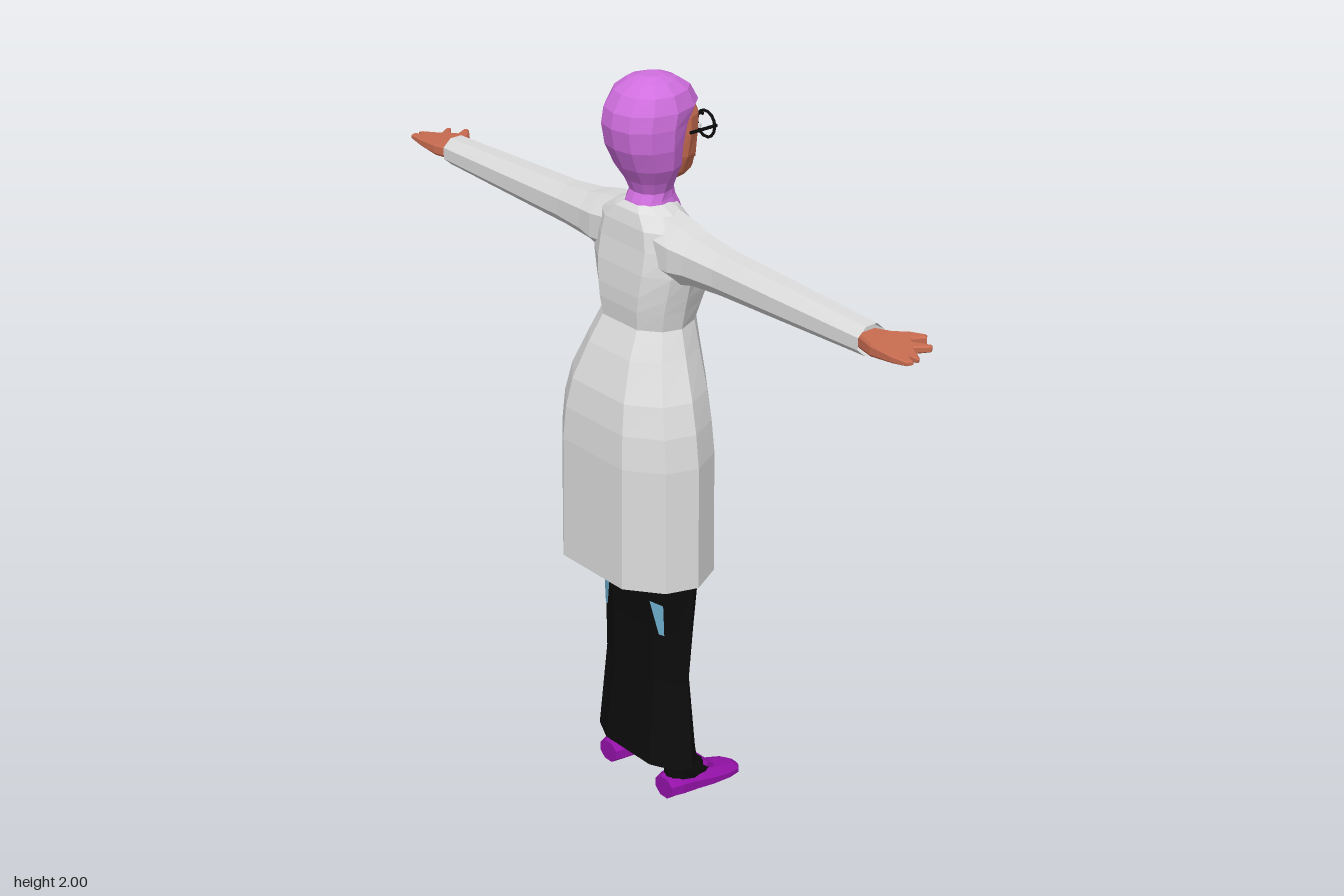
import * as THREE from 'three';

const mat = (name, color, side = THREE.FrontSide) => {
  const m = new THREE.MeshStandardMaterial({ color, side });
  m.name = name;
  return m;
};

// Half cross-sections, front (-1) to back (+1): [width fraction, depth fraction]
const BODY = [[0, -1], [0.45, -1], [0.8, -0.6], [1, 0], [0.88, 0.55], [0.5, 1], [0, 1]];
const ROUND = [[0, -1], [0.45, -0.92], [0.8, -0.58], [1, 0], [0.86, 0.55], [0.5, 0.9], [0, 1]];
const OCT = [[0.42, -1], [1, -0.42], [1, 0.42], [0.42, 1]];

const flat = (geo) => {
  const g = geo.index ? geo.toNonIndexed() : geo;
  g.computeVertexNormals();
  return g;
};

// Faceted skin over rings of [x, y, z] points
function loft(rings, closed = true, caps = false) {
  const n = rings[0].length, pos = rings.flat(2), idx = [];
  for (let i = 0; i < rings.length - 1; i++) {
    for (let j = 0; j < (closed ? n : n - 1); j++) {
      const a = i * n + j, b = i * n + (j + 1) % n;
      idx.push(a, b, b + n, a, b + n, a + n);
    }
  }
  if (caps) {
    const top = (rings.length - 1) * n;
    for (let j = 1; j < n - 1; j++) idx.push(0, j + 1, j, top, top + j, top + j + 1);
  }
  const g = new THREE.BufferGeometry();
  g.setAttribute('position', new THREE.Float32BufferAttribute(pos, 3));
  g.setIndex(idx);
  return flat(g);
}

// Symmetric ring: height y, half width w, front f, back b, side line s, front gap o, bust bulge
function ring(tpl, { y, w, f, b, s = (f + b) / 2, o = 0, bust = 0, cx = 0 }) {
  const half = tpl.map(([u, v], i) => [
    Math.max(u * w, i === 0 ? o : 0),
    (v < 0 ? s + v * (s - f) : s + v * (b - s)) - (i === 1 ? bust : i === 2 ? bust * 0.4 : 0),
  ]);
  const left = half.map(([x, z]) => [cx - x, y, z]);
  const right = half.map(([x, z]) => [cx + x, y, z]).reverse();
  if (tpl[tpl.length - 1][0] === 0) right.shift();
  if (tpl[0][0] === 0 && o === 0) right.pop();
  return left.concat(right);
}

const stack = (tpl, rows, caps = true) =>
  loft(rows.map(([y, w, f, b, s, cx]) => ring(tpl, { y, w, f, b, s, cx })), true, caps);

// Mirror across x, restoring the corner order
function mirrored(geo) {
  const g = flat(geo.clone()).scale(-1, 1, 1), p = g.attributes.position;
  for (let i = 0; i < p.count; i += 3) {
    const a = [p.getX(i), p.getY(i), p.getZ(i)];
    p.setXYZ(i, p.getX(i + 1), p.getY(i + 1), p.getZ(i + 1));
    p.setXYZ(i + 1, ...a);
  }
  g.computeVertexNormals();
  return g;
}

export function createModel() {
  const model = new THREE.Group();
  model.name = 'woman';
  const coatGrey = mat('coat light grey', 0xdcdcdc, THREE.DoubleSide);
  const orchid = mat('headscarf orchid', 0xd06fdf);
  const purple = mat('deep purple', 0x9412a8, THREE.DoubleSide);
  const black = mat('black', 0x0c0c0c, THREE.DoubleSide);
  const skin = mat('skin', 0xc86c50);
  const lip = mat('lips', 0xa14c40);
  const white = mat('eye white', 0xf0f0f0);
  const blue = mat('denim blue', 0x6fb0d0, THREE.DoubleSide);

  const add = (name, geo, material) => {
    const m = new THREE.Mesh(geo, material);
    m.name = name;
    model.add(m);
    return m;
  };
  const pair = (name, geo, material) => {
    add(name, flat(geo), material);
    add(name, mirrored(geo), material);
  };

  // Long coat, open down the front: y, w, f, b, s, gap, bust
  const coat = [
    [0.69, 0.24, -0.115, 0.195, 0.04, 0.045, 0],
    [1.03, 0.237, -0.115, 0.192, 0.04, 0.042, 0],
    [1.12, 0.226, -0.11, 0.186, 0.04, 0.038, 0],
    [1.2, 0.205, -0.105, 0.172, 0.035, 0.034, 0],
    [1.3, 0.162, -0.1, 0.135, 0.02, 0.028, 0],
    [1.37, 0.134, -0.097, 0.1, 0.01, 0.025, 0],
    [1.42, 0.145, -0.102, 0.105, 0.01, 0.024, 0.025],
    [1.46, 0.155, -0.108, 0.105, 0.01, 0.023, 0.036],
    [1.52, 0.17, -0.108, 0.1, 0.01, 0.022, 0.022],
    [1.58, 0.17, -0.09, 0.09, 0.01, 0.021, 0.004],
    [1.63, 0.15, -0.07, 0.085, 0.01, 0.02, 0],
    [1.665, 0.09, -0.055, 0.075, 0.01, 0.018, 0],
    [1.68, 0.052, -0.035, 0.062, 0.01, 0.015, 0],
  ].map(([y, w, f, b, s, o, bust]) => ({ y, w, f, b, s, o, bust }));
  add('coat', loft(coat.map((r) => ring(BODY, r)), false), coatGrey);

  // Shirt showing through the coat opening
  add('shirt', loft(coat.filter((r) => r.y > 1.15 && r.y < 1.64).map(({ y, f }) => {
    const h = Math.max(y, 1.25);
    return [[0.04, h, f + 0.006], [-0.04, h, f + 0.006]];
  }), false), purple);

  // Sleeves, lofted along x: x, half height, front, back, side line, -centre height
  const sleeve = stack(OCT, [
    [0.08, 0.08, -0.07, 0.075, 0.005, -1.583],
    [0.15, 0.075, -0.065, 0.075, 0.005, -1.577],
    [0.2, 0.063, -0.052, 0.068, 0.008, -1.578],
    [0.3, 0.054, -0.042, 0.06, 0.009, -1.576],
    [0.5, 0.047, -0.038, 0.057, 0.009, -1.575],
    [0.8, 0.037, -0.033, 0.05, 0.008, -1.573],
  ], false).rotateZ(-Math.PI / 2);
  pair('sleeve', sleeve, coatGrey);

  // Hands: flat palm outline thinning towards the fingertips
  const outline = [[0.78, -0.02], [0.82, -0.04], [0.845, -0.07], [0.88, -0.093], [0.89, -0.083],
    [0.872, -0.05], [0.888, -0.04], [0.925, -0.066], [0.932, -0.056], [0.908, -0.022], [0.955, 0.005],
    [0.96, 0.015], [0.93, 0.017], [0.96, 0.03], [0.953, 0.046], [0.91, 0.052], [0.84, 0.052], [0.78, 0.035]];
  const hand = new THREE.ExtrudeGeometry(new THREE.Shape(outline.map(([x, z]) => new THREE.Vector2(x, z))),
    { depth: 0.02, bevelThickness: 0.006, bevelSize: 0.004, bevelOffset: -0.004, bevelSegments: 1 });
  hand.rotateX(Math.PI / 2).translate(0, 0.01, 0);
  const hp = hand.attributes.position;
  for (let i = 0; i < hp.count; i++) {
    const t = THREE.MathUtils.clamp((hp.getX(i) - 0.82) / 0.14, 0, 1);
    hp.setY(i, 1.572 + 0.004 * t + hp.getY(i) * (1.1 - 0.75 * t));
  }
  pair('hand', hand, skin);

  // Long skirt
  add('skirt', stack(BODY, [
    [0.1, 0.183, -0.065, 0.08, 0.005], [0.35, 0.161, -0.045, 0.057, 0.005],
    [0.5, 0.165, -0.06, 0.06, 0], [0.69, 0.18, -0.075, 0.07, 0],
    [0.9, 0.18, -0.088, 0.09, 0], [1.1, 0.175, -0.098, 0.1, 0], [1.28, 0.135, -0.092, 0.09, 0],
  ], false), black);

  // Denim patches on the back of the skirt
  pair('denimPatch', loft([
    [[0.106, 0.5, 0.06], [0.121, 0.5, 0.054]],
    [[0.082, 0.595, 0.072], [0.121, 0.59, 0.058]],
  ], false), blue);

  // Ankles and insteps
  pair('ankle', stack(ROUND, [
    [0.02, 0.037, -0.12, 0.035, -0.03, 0.118], [0.058, 0.037, -0.095, 0.042, -0.02, 0.119],
    [0.1, 0.036, -0.05, 0.045, 0, 0.122], [0.25, 0.034, -0.025, 0.04, 0.008, 0.118],
  ]), black);

  // Shoes, lofted from heel to toe
  const shoe = stack(OCT, [
    [-0.052, 0.034, 0, 0.058, 0.03, 0.118], [-0.02, 0.044, 0, 0.066, 0.03, 0.118],
    [0.03, 0.047, 0, 0.058, 0.025, 0.118], [0.08, 0.052, 0, 0.046, 0.02, 0.119],
    [0.14, 0.05, 0, 0.034, 0.015, 0.122], [0.175, 0.04, 0, 0.026, 0.012, 0.124],
    [0.192, 0.022, 0.003, 0.018, 0.01, 0.124],
  ]).rotateX(-Math.PI / 2);
  pair('shoe', shoe, purple);
  pair('shoeStrap', new THREE.BoxGeometry(0.076, 0.012, 0.026).rotateX(-0.55).translate(0.119, 0.066, -0.078), purple);

  // Headscarf with neck and collar
  add('headscarf', stack(ROUND, [
    [1.615, 0.06, -0.095, 0.03, 0], [1.66, 0.062, -0.078, 0.07, 0.01], [1.685, 0.055, -0.065, 0.06, 0.01],
    [1.705, 0.053, -0.06, 0.05, 0], [1.735, 0.066, -0.066, 0.062, 0], [1.775, 0.09, -0.068, 0.088, 0],
    [1.83, 0.102, -0.07, 0.114, 0.01], [1.885, 0.106, -0.088, 0.124, 0.01], [1.925, 0.105, -0.122, 0.117, 0],
    [1.965, 0.09, -0.1, 0.09, 0], [1.988, 0.062, -0.065, 0.055, 0], [2, 0.025, -0.03, 0.025, 0],
  ]), orchid);

  // Face and nose
  add('face', stack(ROUND, [
    [1.725, 0.03, -0.108, -0.02, -0.06], [1.745, 0.05, -0.122, -0.02, -0.06],
    [1.79, 0.071, -0.125, -0.02, -0.06], [1.85, 0.083, -0.121, -0.02, -0.06],
    [1.895, 0.084, -0.124, -0.02, -0.06], [1.92, 0.075, -0.112, -0.02, -0.06],
  ]), skin);
  add('nose', loft([
    [[0, 1.797, -0.115], [-0.018, 1.8, -0.115], [0, 1.798, -0.135], [0.018, 1.8, -0.115]].reverse(),
    [[0, 1.81, -0.11], [-0.016, 1.812, -0.117], [0, 1.81, -0.149], [0.016, 1.812, -0.117]].reverse(),
    [[0, 1.86, -0.11], [-0.008, 1.86, -0.117], [0, 1.86, -0.125], [0.008, 1.86, -0.117]].reverse(),
  ], true, true), skin);
  add('lips', flat(new THREE.BoxGeometry(0.042, 0.013, 0.008).translate(0, 1.768, -0.124)), lip);

  // Eyes, brows and round glasses
  const plate = (w, h, x, y, z) => new THREE.BoxGeometry(w, h, 0.006).rotateY(0.22).translate(x, y, z);
  pair('eye', plate(0.026, 0.011, 0.039, 1.852, -0.1155), white);
  pair('pupil', plate(0.01, 0.011, 0.039, 1.852, -0.1175), black);
  pair('brow', plate(0.036, 0.006, 0.04, 1.885, -0.117), black);
  pair('glassesRim', new THREE.TorusGeometry(0.034, 0.004, 5, 14).translate(0.047, 1.852, -0.138), black);
  pair('glassesTemple', new THREE.BoxGeometry(0.005, 0.007, 0.085).translate(0.086, 1.858, -0.097), black);
  add('glassesBridge', flat(new THREE.BoxGeometry(0.03, 0.006, 0.006).translate(0, 1.86, -0.138)), black);

  return model;
}
